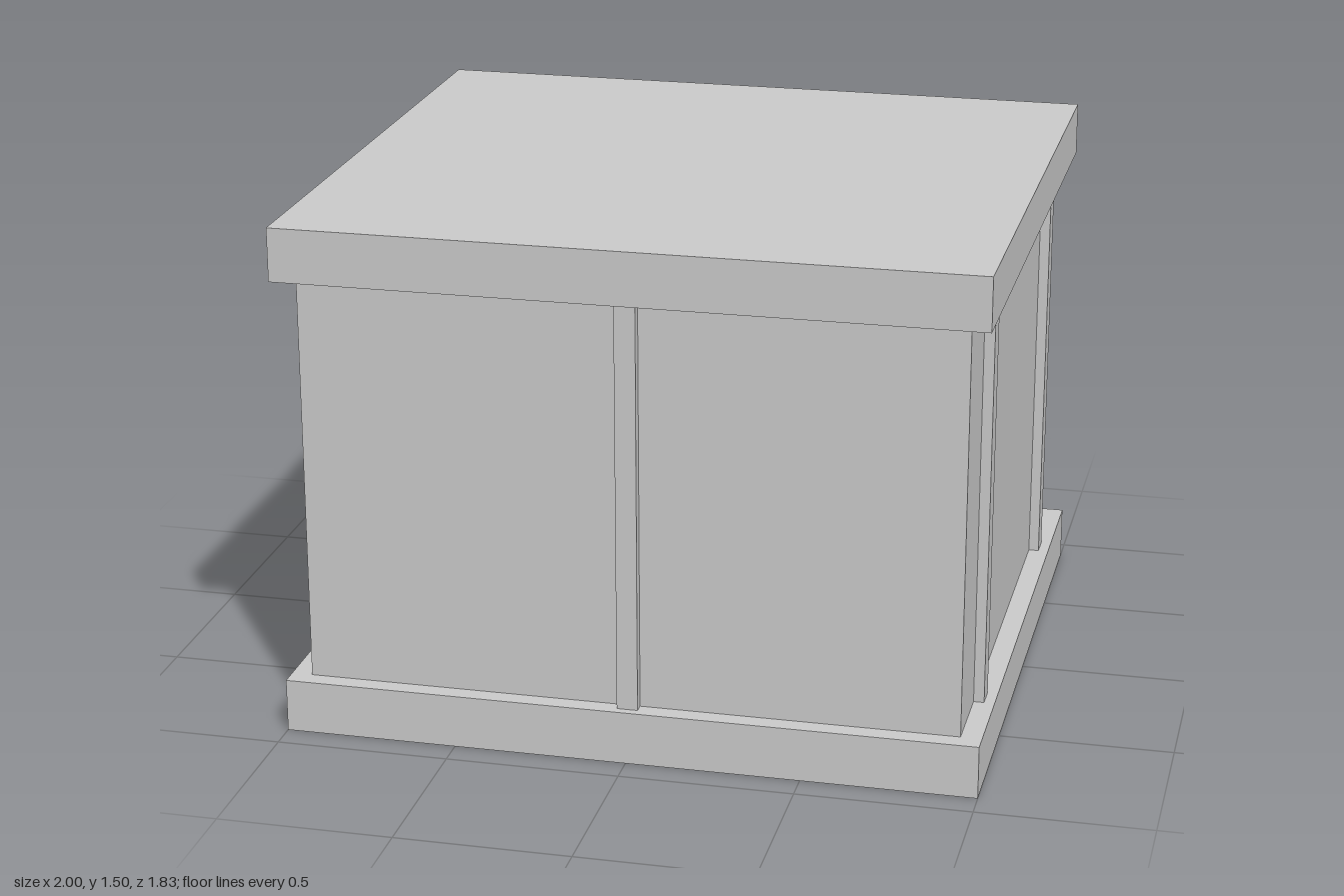
import * as THREE from 'three';

const material = new THREE.MeshStandardMaterial({ color: 0xcccccc, flatShading: true });

// Levels and outer planes of the walls
const BASE = 0.155, EAVES = 1.35, TOP = 1.505;
const WX = 0.94, WZ = 0.86;
const NICHE = 0.09, BAY = 0.185; // depths of the window niches and the doorway

function add(group, name, geometry) {
  const mesh = new THREE.Mesh(geometry, material);
  mesh.name = name;
  group.add(mesh);
}

// Box given by its limits on each axis
function block(group, name, [x0, x1], [y0, y1], [z0, z1]) {
  const geometry = new THREE.BoxGeometry(x1 - x0, y1 - y0, z1 - z0);
  geometry.translate((x0 + x1) / 2, (y0 + y1) / 2, (z0 + z1) / 2);
  add(group, name, geometry);
}

function trace(path, [u0, u1], [v0, v1]) {
  path.moveTo(u0, v0).lineTo(u1, v0).lineTo(u1, v1).lineTo(u0, v1).closePath();
  return path;
}

// Upright wall slab with rectangular openings
function wall(width, openings, depth) {
  const shape = trace(new THREE.Shape(), width, [BASE, EAVES]);
  for (const [u, v] of openings) shape.holes.push(trace(new THREE.Path(), u, v));
  return new THREE.ExtrudeGeometry(shape, { depth, bevelEnabled: false });
}

export function createModel() {
  const model = new THREE.Group();
  model.name = 'building';

  // Floor slab and flat roof
  block(model, 'base', [-1, 1], [0, BASE], [-0.915, 0.915]);
  block(model, 'roof', [-1, 1], [EAVES, TOP], [-0.915, 0.915]);

  // Solid core that closes the backs of the niches
  block(model, 'core', [-WX + BAY, WX], [BASE, EAVES], [-WZ + NICHE, WZ]);

  // Back wall with three window niches
  const windows = [
    [[0.565, 0.73], [0.585, 0.96]],
    [[-0.1, 0.1], [0.71, 1.14]],
    [[-0.74, -0.57], [0.445, 0.825]],
  ];
  add(model, 'backWall', wall([-WX, WX], windows, NICHE).translate(0, 0, -WZ));

  // Side wall with the large doorway
  const doorway = [[-0.453, 0.453], [0.25, 1.25]];
  const side = wall([-WZ + NICHE, WZ], [doorway], BAY);
  add(model, 'doorwayWall', side.rotateY(-Math.PI / 2).translate(-WX + BAY, 0, 0));

  // Half-raised door panel set back in the doorway
  block(model, 'doorPanel', [-WX + NICHE, -WX + BAY], [0.752, 1.25], doorway[0]);

  // Pilasters on the two sides and the front
  for (const z of [-0.585, 0.585]) {
    const span = [z - 0.035, z + 0.035];
    block(model, 'doorwayPilaster', [-1, -WX], [BASE, EAVES], span);
    block(model, 'sidePilaster', [WX, 0.97], [BASE, EAVES], span);
  }
  block(model, 'frontPilaster', [-0.03, 0.03], [BASE, EAVES], [WZ, 0.89]);

  return model;
}
